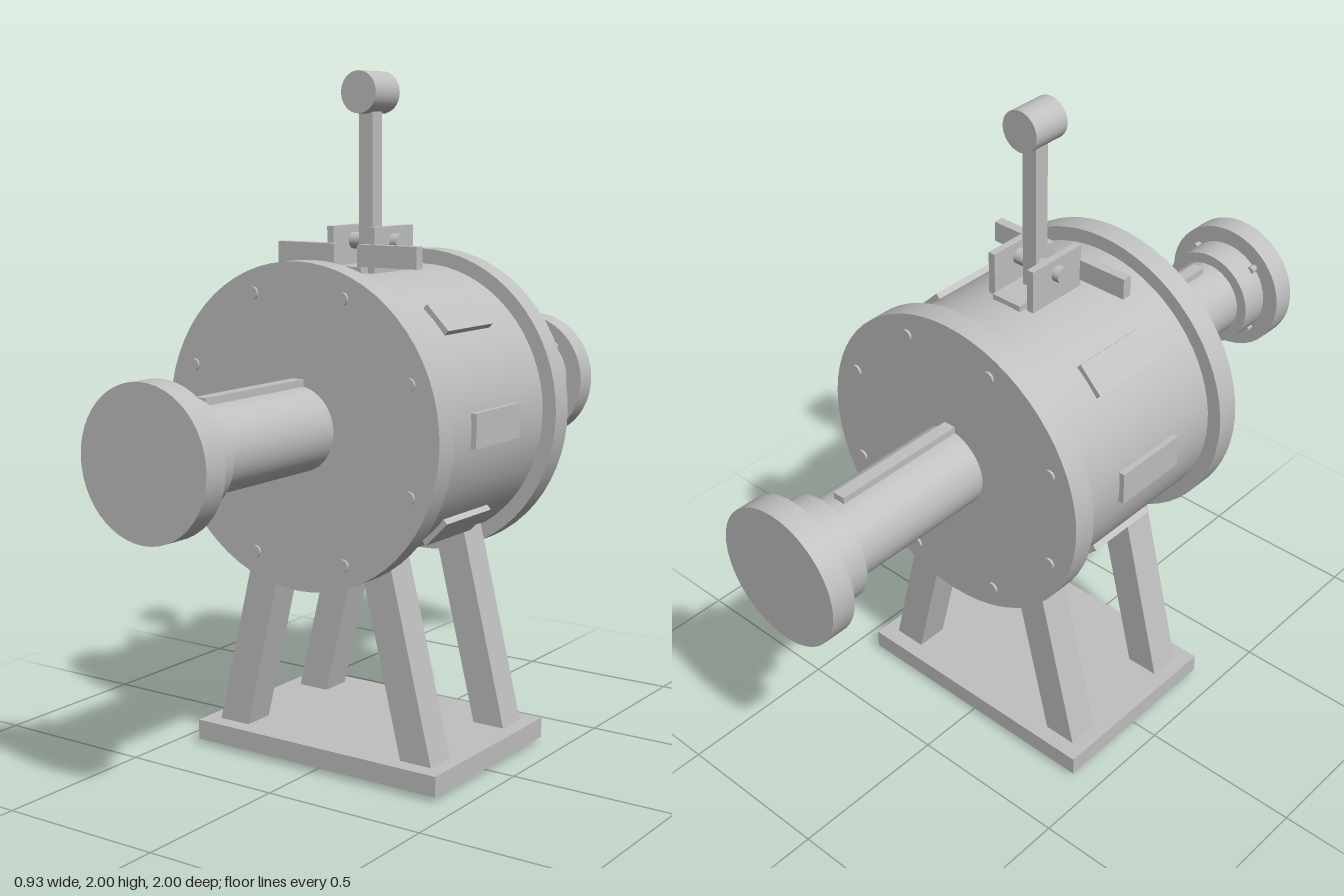
import * as THREE from 'three';

export function createModel() {
  const root = new THREE.Group();
  root.name = 'drumMachine';
  const steel = new THREE.MeshStandardMaterial({ color: 0xc0c0c0 });
  steel.name = 'light grey';
  const AXIS = 1.015; // height of the drum axis

  function add(parent, name, geometry, x, y, z) {
    const mesh = new THREE.Mesh(geometry, steel);
    mesh.name = name;
    mesh.position.set(x, y, z);
    parent.add(mesh);
    return mesh;
  }
  const box = (w, h, d) => new THREE.BoxGeometry(w, h, d);
  const rodZ = (r, len, seg = 48) => new THREE.CylinderGeometry(r, r, len, seg).rotateX(Math.PI / 2);

  // Drum with pads all around
  const drum = new THREE.Group();
  drum.name = 'drum';
  drum.position.y = AXIS;
  root.add(drum);
  add(drum, 'drumBody', rodZ(0.42, 0.6, 64), 0, 0, 0);
  for (let i = 0; i < 8; i++) {
    const a = (i * Math.PI) / 4;
    const pad = add(drum, 'pad', box(0.03, 0.1, 0.24), 0.42 * Math.cos(a), 0.42 * Math.sin(a), 0);
    pad.rotation.z = a;
  }

  // Flange, bolts, shaft, key and coupling at each end
  for (const s of [1, -1]) {
    const end = new THREE.Group();
    end.name = s > 0 ? 'frontEnd' : 'backEnd';
    drum.add(end);
    add(end, 'flange', rodZ(0.464, 0.073, 64), 0, 0, s * 0.3185);
    for (let i = 0; i < 8; i++) {
      const a = ((i + 0.5) * Math.PI) / 4;
      add(end, 'flangeBolt', rodZ(0.018, 0.02, 16), 0.4 * Math.cos(a), 0.4 * Math.sin(a), s * 0.352);
    }
    add(end, 'shaft', rodZ(0.121, 0.6), 0, 0, s * 0.6);
    add(end, 'shaftKey', box(0.038, 0.05, 0.42), 0, 0.115, s * 0.565);
    add(end, 'collar', rodZ(0.155, 0.1), 0, 0, s * 0.88);
    add(end, 'endDisc', rodZ(0.207, 0.075), 0, 0, s * 0.9625);
    for (let i = 0; i < 4; i++) {
      const a = ((i + 0.5) * Math.PI) / 2;
      add(end, 'collarBolt', rodZ(0.012, 0.025, 12), 0.155 * Math.cos(a), 0.155 * Math.sin(a), s * 0.915);
    }
  }

  // Stand: base plate and four slanted legs
  const stand = new THREE.Group();
  stand.name = 'stand';
  root.add(stand);
  add(stand, 'basePlate', box(0.845, 0.06, 0.6), 0, 0.045, 0);
  for (const sx of [1, -1]) {
    for (const sz of [1, -1]) {
      const leg = add(stand, 'leg', box(0.1, 0.67, 0.1), sx * 0.26, 0.337, sz * 0.2);
      leg.rotation.z = sx * THREE.MathUtils.degToRad(13.8);
    }
  }

  // Lever with its bracket, pin and side bars
  const lever = new THREE.Group();
  lever.name = 'lever';
  root.add(lever);
  for (const s of [1, -1]) {
    add(lever, 'bracketCheek', box(0.022, 0.13, 0.2), s * 0.071, 1.497, 0);
    add(lever, 'sideBar', box(0.2, 0.063, 0.03), s * 0.14, 1.483, 0.11);
  }
  const pin = new THREE.CylinderGeometry(0.024, 0.024, 0.21, 24).rotateZ(Math.PI / 2);
  add(lever, 'pivotPin', pin, 0, 1.517, 0);
  add(lever, 'leverRod', box(0.048, 0.46, 0.048), 0, 1.68, 0);
  add(lever, 'leverKnob', rodZ(0.06, 0.122, 32), 0, 1.94, 0);

  return root;
}
